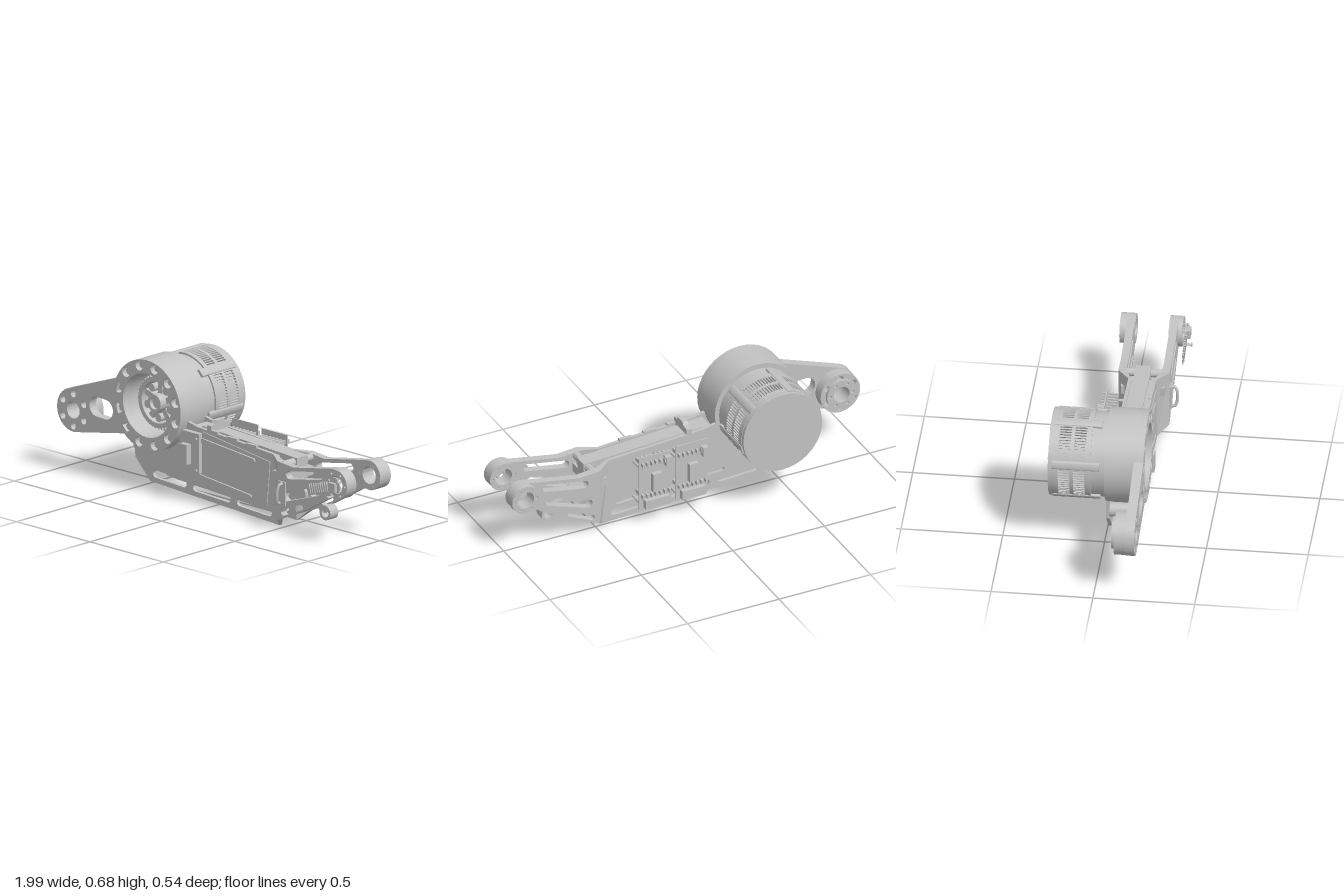
import * as THREE from 'three';
import { toCreasedNormals, mergeGeometries } from 'three/addons/utils/BufferGeometryUtils.js';

const metal = new THREE.MeshStandardMaterial({ color: 0xc2c2c2 });
metal.name = 'lightGrey';
const TAU = Math.PI * 2;
const MOTOR = [-0.39, 0.445];
const KNEE = [-0.89, 0.32];
const HIP = [0.92, 0.315];

export function createModel() {
  const model = new THREE.Group();
  model.name = 'legLink';

  const add = (name, geo, x = 0, y = 0, z = 0, parent = model) => {
    const m = new THREE.Mesh(geo, metal);
    m.name = name;
    m.position.set(x, y, z);
    parent.add(m);
    return m;
  };
  const box = (name, x0, x1, y0, y1, z0, z1, tilt = 0) => {
    const m = add(name, new THREE.BoxGeometry(x1 - x0, y1 - y0, z1 - z0), (x0 + x1) / 2, (y0 + y1) / 2, (z0 + z1) / 2);
    m.rotation.z = tilt;
    return m;
  };
  const extrude = (shape, depth) => toCreasedNormals(
    new THREE.ExtrudeGeometry(shape, { depth, bevelEnabled: false, curveSegments: 20 }), 0.5);
  const plate = (name, shape, z0, z1) => add(name, extrude(shape, z1 - z0), 0, 0, z0);
  const circle = (x, y, r, Type = THREE.Path) => new Type().absarc(x, y, r, 0, TAU, false);
  const disc = (name, [x, y], r, z0, z1, holes = []) => {
    const s = circle(x, y, r, THREE.Shape);
    s.holes = holes;
    return plate(name, s, z0, z1);
  };
  const ringHoles = ([x, y], n, R, r, start = 0) => Array.from({ length: n }, (_, i) => {
    const a = start + i / n * TAU;
    return circle(x + R * Math.cos(a), y + R * Math.sin(a), r);
  });
  // Round-ended slot between two points
  const slot = (x0, y0, x1, y1, r, Type = THREE.Path) => {
    const a = Math.atan2(y1 - y0, x1 - x0), q = Math.PI / 2;
    return new Type().absarc(x0, y0, r, a + q, a + 3 * q, false).absarc(x1, y1, r, a - q, a + q, false).closePath();
  };
  const poly = pts => new THREE.Shape(pts.map(p => new THREE.Vector2(...p)));
  const [mx, my] = MOTOR;

  // Gear housing: solid ring with counterbored front face
  disc('housingRing', MOTOR, 0.231, 0.01, 0.17, [circle(mx, my, 0.162)]);
  disc('housingFace', MOTOR, 0.231, 0.17, 0.202,
    [circle(mx, my, 0.162), ...ringHoles(MOTOR, 12, 0.2, 0.025, Math.PI / 12)]);
  for (let i = 0; i < 12; i++) {
    const a = Math.PI / 12 + i * TAU / 12;
    disc('housingBolt', [mx + 0.2 * Math.cos(a), my + 0.2 * Math.sin(a)], 0.015, 0.17, 0.185);
  }
  disc('housingFloor', MOTOR, 0.165, 0.02, 0.06);
  disc('gearRing', MOTOR, 0.128, 0.06, 0.13, [circle(mx, my, 0.105)]);
  disc('gearHub', MOTOR, 0.045, 0.06, 0.15, [circle(mx, my, 0.03)]);
  disc('hubPin', MOTOR, 0.03, 0.06, 0.13);
  for (let i = 0; i < 5; i++) {
    const a = i * TAU / 5 + 0.3, c = Math.cos(a), s = Math.sin(a);
    add('gearSpoke', new THREE.BoxGeometry(0.09, 0.03, 0.05), mx + 0.078 * c, my + 0.078 * s, 0.085).rotation.z = a;
    disc('planetPin', [mx + 0.08 * Math.cos(a + 0.63), my + 0.08 * Math.sin(a + 0.63)], 0.02, 0.06, 0.12);
  }
  for (let i = 0; i < 40; i++) {
    const a = i * TAU / 40;
    add('gearTooth', new THREE.BoxGeometry(0.012, 0.009, 0.06), mx + 0.132 * Math.cos(a), my + 0.132 * Math.sin(a), 0.09).rotation.z = a;
  }

  // Output arm with lightening hole and end pad
  const arm = new THREE.Shape().absarc(...KNEE, 0.11, 1.87, -1.35, false);
  arm.lineTo(-0.53, 0.275);
  arm.absarc(mx, my, 0.21, 4.0, 2.6, true);
  arm.closePath();
  const padHoles = () => [circle(...KNEE, 0.043), ...ringHoles(KNEE, 6, 0.082, 0.017, Math.PI / 6)];
  arm.holes = [...padHoles(), slot(-0.73, 0.37, -0.67, 0.367, 0.05)];
  plate('outputArm', arm, 0.155, 0.202);
  disc('armPad', KNEE, 0.108, 0.1, 0.155, padHoles());
  disc('armPadLip', KNEE, 0.08, 0.085, 0.1, [circle(...KNEE, 0.043), ...ringHoles(KNEE, 6, 0.062, 0.008)]);

  // Motor: core, neck, rear cap, ribs and slotted cooling shells
  const motor = new THREE.Group();
  motor.name = 'motor';
  motor.position.set(mx, my - 0.003, 0);
  model.add(motor);
  const mdisc = (name, r, z0, z1) => add(name, extrude(circle(0, 0, r, THREE.Shape), z1 - z0), 0, 0, z0, motor);
  mdisc('motorNeck', 0.208, -0.062, 0.012);
  mdisc('motorCore', 0.2, -0.26, -0.05);
  mdisc('motorCap', 0.215, -0.268, -0.245);
  // Each shell is bent from narrow strips, so it stays round between the slots
  const R = 0.205, half = R * Math.PI / 6, pitch = 0.0138;
  const strip = (t0, t1, slotted) => {
    const s = poly([[t0, -0.25], [t1, -0.25], [t1, -0.06], [t0, -0.06]]);
    const t = (t0 + t1) / 2;
    if (slotted) s.holes = [-0.165, -0.09].map(z => slot(t, z - 0.05, t, z, 0.0045));
    return new THREE.ExtrudeGeometry(s, { depth: 0.012, bevelEnabled: false, curveSegments: 4 });
  };
  const strips = [strip(-half, -6 * pitch, false), strip(6 * pitch, half, false)];
  for (let i = -6; i < 6; i++) strips.push(strip(i * pitch, (i + 1) * pitch, true));
  const bent = mergeGeometries(strips);
  const pos = bent.attributes.position;
  for (let i = 0; i < pos.count; i++) {
    const a = pos.getX(i) / R, r = R + pos.getZ(i);
    pos.setXYZ(i, r * Math.cos(a), r * Math.sin(a), pos.getY(i));
  }
  const shell = toCreasedNormals(bent, 0.5);
  const rib = slot(0, -0.013, 0, 0.013, 0.009, THREE.Shape);
  for (let k = 0; k < 6; k++) {
    const a0 = Math.PI / 12 + k * TAU / 6, b = a0 + Math.PI / 6;
    add('coolingShell', shell, 0, 0, 0, motor).rotation.z = a0;
    add('motorRib', extrude(rib, 0.235), 0.213 * Math.cos(b), 0.213 * Math.sin(b), -0.25, motor).rotation.z = b;
    for (const d of [-0.14, 0.14]) {
      add('capBolt', extrude(circle(0, 0, 0.007, THREE.Shape), 0.004), 0.2 * Math.cos(b + d), 0.2 * Math.sin(b + d), -0.27, motor);
    }
  }

  // Body side plates, ramps and fork arms, front and back
  const side = (extraHoles = []) => {
    const s = poly([[-0.52, 0.15], [-0.42, 0.045], [0.46, 0], [0.42, 0.352], [-0.1, 0.385], [-0.17, 0.4]]);
    s.absarc(mx, my, 0.2, -0.26, -2.32, true);
    s.closePath();
    s.holes = [slot(-0.38, 0.088, -0.19, 0.078, 0.019), slot(-0.11, 0.074, 0.11, 0.063, 0.019),
      slot(0.19, 0.06, 0.39, 0.05, 0.019), ...extraHoles];
    return s;
  };
  const forkArm = poly([[0.5, 0.345], [0.5, 0.045], [0.65, 0.11], [0.85, 0.225]]);
  forkArm.absarc(...HIP, 0.075, -1.9, 1.8, false);
  forkArm.lineTo(0.61, 0.335);
  forkArm.holes = [circle(...HIP, 0.045), slot(0.58, 0.29, 0.79, 0.328, 0.02),
    slot(0.56, 0.175, 0.77, 0.245, 0.022), slot(0.54, 0.09, 0.66, 0.142, 0.014)];
  // Ramp: rectangular cross-sections swept from body plate to fork arm
  const ramp = (za, zb, zc, zd) => {
    const p = [[0.46, 0, za], [0.42, 0.352, za], [0.42, 0.352, zb], [0.46, 0, zb],
      [0.5, 0.045, zc], [0.5, 0.345, zc], [0.5, 0.345, zd], [0.5, 0.045, zd]];
    const g = new THREE.BufferGeometry();
    g.setAttribute('position', new THREE.Float32BufferAttribute(p.flat(), 3));
    const idx = [];
    for (let i = 0; i < 4; i++) {
      const j = (i + 1) % 4;
      idx.push(i, j, i + 4, j, j + 4, i + 4);
    }
    g.setIndex(idx);
    const flat = g.toNonIndexed();
    flat.computeVertexNormals();
    return flat;
  };
  plate('frontSidePlate', side(), 0.13, 0.148);
  plate('backSidePlate', side([slot(-0.2, 0.13, 0.06, 0.116, 0.011), slot(0.12, 0.112, 0.37, 0.098, 0.011)]), 0.01, 0.027);
  add('frontRamp', ramp(0.13, 0.148, 0.165, 0.203));
  add('backRamp', ramp(0.01, 0.027, -0.048, -0.01));
  plate('frontForkArm', forkArm, 0.165, 0.203);
  plate('backForkArm', forkArm, -0.048, -0.01);
  const bore = () => [circle(...HIP, 0.045), ...ringHoles(HIP, 6, 0.06, 0.006)];
  disc('frontHipBoss', HIP, 0.075, 0.158, 0.225, bore());
  disc('backHipBoss', HIP, 0.075, -0.083, -0.008, bore());

  // Inner core, top cover and cross members
  plate('bodyCore', poly([[-0.42, 0.16], [0.42, 0.125], [0.42, 0.33], [-0.15, 0.36], [-0.17, 0.26], [-0.45, 0.21]]), 0.028, 0.132);
  box('topCover', -0.15, 0.43, 0.345, 0.36, 0.012, 0.146, -0.06);
  plate('topChannel', poly([[-0.1, 0.345], [0.545, 0.312], [0.545, 0.35], [-0.1, 0.383]]), 0.035, 0.112);
  box('channelEnd', 0.42, 0.54, 0.27, 0.33, 0.035, 0.112);
  box('crossMember', 0.45, 0.54, 0.24, 0.285, -0.03, 0.185);
  disc('forkPin', [0.52, 0.325], 0.02, -0.03, 0.185);
  disc('tailPin', [-0.5, 0.2], 0.022, 0.01, 0.148);
  disc('bumper', [-0.515, 0.205], 0.036, 0.03, 0.13);
  // Cable clamp over the top
  const clamp = poly([[0.01, 0.36], [0.148, 0.36], [0.148, 0.408], [0.115, 0.412], [0.105, 0.428], [0.055, 0.428], [0.045, 0.412], [0.01, 0.408]]);
  add('cableClamp', extrude(clamp, 0.028), -0.005, 0, 0).rotation.y = -Math.PI / 2;

  // Push rod with eye
  plate('pushRod', slot(0.49, 0.2, 0.71, 0.12, 0.018, THREE.Shape), 0.062, 0.092);
  plate('rodClevis', slot(0.5, 0.2, 0.57, 0.175, 0.038, THREE.Shape), 0.04, 0.115);
  disc('rodEye', [0.73, 0.108], 0.037, 0.05, 0.106, [circle(0.73, 0.108, 0.023)]);

  // Front cover panel, rails and port box
  plate('coverPanel', poly([[-0.06, 0.1], [0.38, 0.085], [0.4, 0.31], [-0.06, 0.37]]), 0.148, 0.153);
  plate('upperRail', slot(-0.05, 0.325, 0.29, 0.295, 0.012, THREE.Shape), 0.153, 0.162);
  plate('lowerRail', slot(-0.07, 0.142, 0.27, 0.108, 0.01, THREE.Shape), 0.153, 0.162);
  box('portBlock', -0.185, -0.06, 0.16, 0.36, 0.14, 0.175);
  box('portFrame', -0.165, -0.115, 0.2, 0.3, 0.175, 0.205);
  for (const y of [0.17, 0.33]) disc('portScrew', [-0.08, y], 0.009, 0.175, 0.182);
  for (const x of [-0.03, 0.1, 0.23]) box('topTab', x, x + 0.07, 0.362 - x * 0.06, 0.384 - x * 0.06, 0.13, 0.148);

  // Circuit boards behind the body with pin rows and connectors
  for (const x of [-0.075, 0.125]) {
    box('circuitBoard', x, x + 0.175, 0.085, 0.385 - x * 0.06, -0.078, -0.072);
    box('daughterBoard', x + 0.02, x + 0.155, 0.13, 0.23, -0.056, -0.051);
    box('largeConnector', x + 0.06, x + 0.11, 0.18, 0.28, -0.104, -0.078);
    box('lowerConnector', x + 0.02, x + 0.15, 0.09, 0.138, -0.104, -0.078);
    box('topConnector', x + 0.01, x + 0.04, 0.31, 0.36, -0.11, -0.078);
    for (let i = 0; i < 7; i++) {
      const px = x + 0.015 + i * 0.024;
      for (const y of [0.15, 0.33]) box('boardPin', px - 0.005, px + 0.005, y, y + 0.02, -0.1, -0.02);
    }
    for (const y of [0.11, 0.31]) for (const dx of [0.015, 0.16]) disc('boardStandoff', [x + dx, y], 0.007, -0.073, 0.012);
  }

  // Cable loop, encoder board and pins on the front arm
  const loop = new THREE.CatmullRomCurve3([[0.54, 0.24, 0.2], [0.54, 0.238, 0.228], [0.535, 0.215, 0.238],
    [0.53, 0.165, 0.238], [0.525, 0.142, 0.228], [0.525, 0.138, 0.2]].map(p => new THREE.Vector3(...p)));
  add('cableLoop', new THREE.TubeGeometry(loop, 20, 0.008, 8));
  box('loopBase', 0.51, 0.56, 0.13, 0.25, 0.2, 0.212);
  disc('encoderBoard', HIP, 0.042, 0.235, 0.242, [circle(...HIP, 0.012)]);
  box('encoderChip', 0.9, 0.945, 0.285, 0.33, 0.242, 0.26);
  for (const [dx, dy] of [[-0.03, 0.02], [0.03, 0.02], [0, -0.035]]) disc('encoderPost', [HIP[0] + dx, HIP[1] + dy], 0.007, 0.222, 0.25);
  box('encoderArm', 0.74, 0.88, 0.25, 0.29, 0.238, 0.242, 0.3);
  for (let i = 0; i < 9; i++) box('ribbonWire', 0.755 + i * 0.0145, 0.763 + i * 0.0145, 0.242 + i * 0.0045, 0.29 + i * 0.0045, 0.236, 0.246, 0.3);
  disc('armPin', [0.9, 0.253], 0.006, 0.2, 0.27);
  disc('armPinHead', [0.9, 0.253], 0.01, 0.264, 0.27);

  return model;
}
